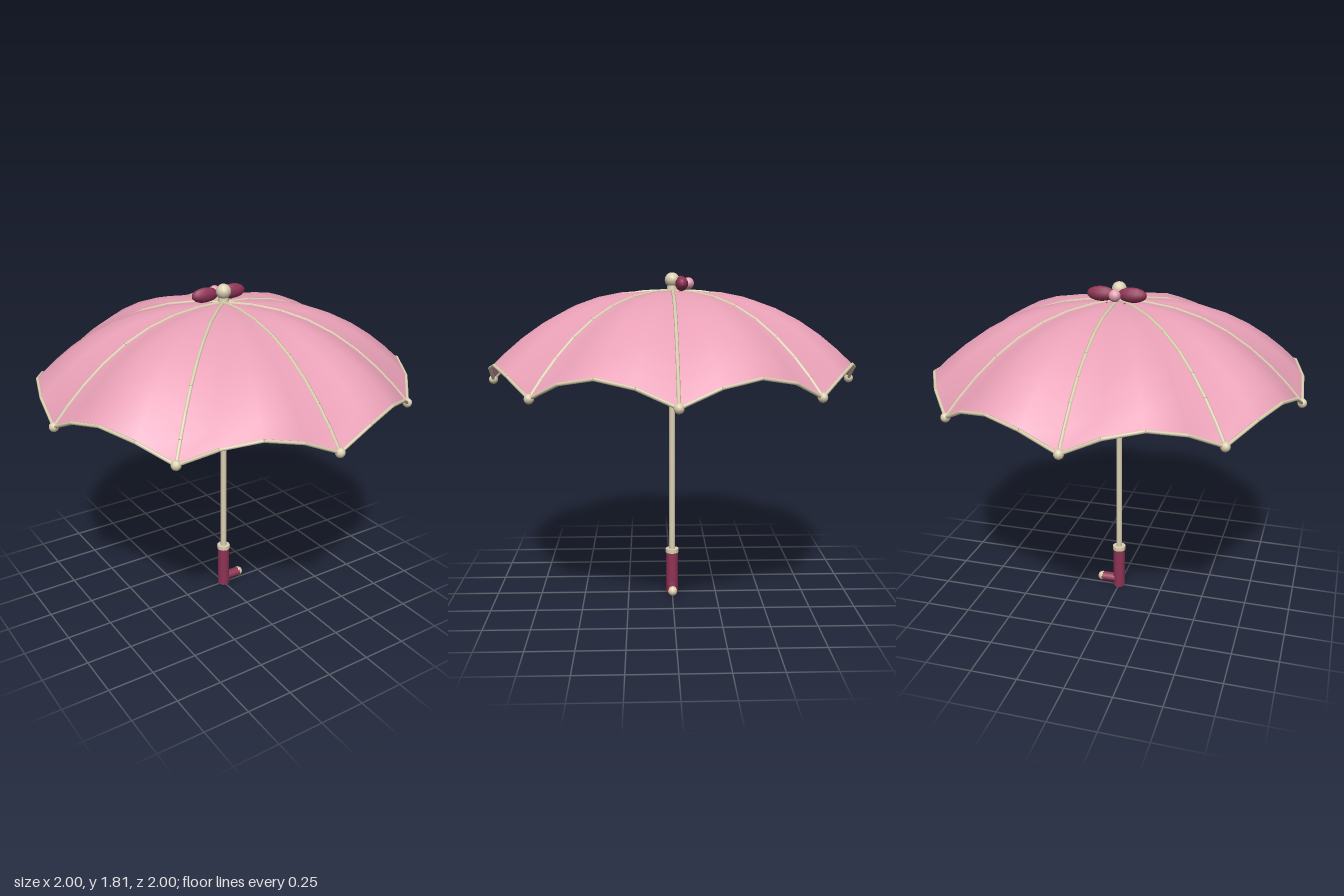
import * as THREE from 'three';
import { mergeGeometries } from 'three/addons/utils/BufferGeometryUtils.js';

const PANELS = 8, STEPS = 4, RADIUS = 0.975;
const mat = (color, side = THREE.FrontSide) => new THREE.MeshStandardMaterial({ color, side });

// Point on the canopy: t runs from centre (0) to rim (1); fabric rises between ribs.
function canopyPoint(t, angle) {
  const scallop = Math.abs(Math.sin(angle * PANELS / 2));
  const y = 1.715 - 0.475 * Math.pow(t, 2.42) + 0.12 * Math.pow(t, 1.7) * scallop;
  return new THREE.Vector3(RADIUS * t * Math.cos(angle), y, RADIUS * t * Math.sin(angle));
}

// Thin round rod between two points.
function rod(a, b, r, sides = 6) {
  const dir = b.clone().sub(a);
  const g = new THREE.CylinderGeometry(r, r, dir.length(), sides);
  const q = new THREE.Quaternion().setFromUnitVectors(new THREE.Vector3(0, 1, 0), dir.normalize());
  return g.applyQuaternion(q).translate((a.x + b.x) / 2, (a.y + b.y) / 2, (a.z + b.z) / 2);
}

export function createModel() {
  const group = new THREE.Group();
  const pink = mat(0xe8a0b6), cream = mat(0xddd0b2), crimson = mat(0x8f3355);
  const add = (name, geometry, material, x = 0, y = 0, z = 0) => {
    const m = new THREE.Mesh(geometry, material);
    m.name = name;
    m.position.set(x, y, z);
    group.add(m);
    return m;
  };

  // Canopy: a grid wrapped round the axis
  const cloth = new THREE.PlaneGeometry(1, 1, PANELS * STEPS, 8);
  const pos = cloth.attributes.position;
  for (let i = 0; i < pos.count; i++) {
    const t = Math.sin((0.5 - pos.getY(i)) * 1.1) / Math.sin(1.1);
    const p = canopyPoint(t, -(pos.getX(i) + 0.5) * Math.PI * 2);
    pos.setXYZ(i, p.x, p.y, p.z);
  }
  cloth.computeVertexNormals();
  add('canopy', cloth, mat(0xe8a0b6, THREE.DoubleSide));

  // Ribs, rib tips and stretchers
  const ribs = [], stretchers = [], trim = [];
  for (let i = 0; i < PANELS; i++) {
    const a = i / PANELS * Math.PI * 2;
    for (let k = 0; k < 8; k++) {
      const t0 = Math.sin(k / 8 * 1.1) / Math.sin(1.1);
      const t1 = Math.sin((k + 1) / 8 * 1.1) / Math.sin(1.1);
      ribs.push(rod(canopyPoint(t0, a), canopyPoint(t1, a), 0.01));
    }
    const tip = canopyPoint(1, a);
    add('ribTip', new THREE.SphereGeometry(0.025, 10, 8), cream, tip.x, tip.y, tip.z);
    stretchers.push(rod(new THREE.Vector3(0, 1.42, 0), canopyPoint(0.607, a), 0.005));
  }
  add('ribs', mergeGeometries(ribs), cream);
  add('stretchers', mergeGeometries(stretchers), cream);

  // Trim along the scalloped rim
  const n = PANELS * STEPS;
  for (let i = 0; i < n; i++) {
    trim.push(rod(canopyPoint(1, i / n * Math.PI * 2), canopyPoint(1, (i + 1) / n * Math.PI * 2), 0.009));
  }
  add('rimTrim', mergeGeometries(trim), cream);

  // Shaft, runner and finial
  add('shaft', new THREE.CylinderGeometry(0.017, 0.017, 1.5, 12), cream, 0, 0.99, 0);
  add('runner', new THREE.CylinderGeometry(0.03, 0.03, 0.045, 12), cream, 0, 1.42, 0);
  add('finialCollar', new THREE.CylinderGeometry(0.025, 0.03, 0.04, 12), cream, 0, 1.73, 0);
  add('finial', new THREE.SphereGeometry(0.04, 12, 8), cream, 0, 1.773, 0);

  // Handle with side hook
  add('handle', new THREE.CylinderGeometry(0.034, 0.034, 0.25, 12), crimson, 0, 0.125, 0);
  add('handleCollar', new THREE.CylinderGeometry(0.037, 0.037, 0.022, 12), cream, 0, 0.251, 0);
  add('hook', new THREE.CylinderGeometry(0.027, 0.027, 0.1, 10).rotateZ(Math.PI / 2), crimson, 0.052, 0.043, 0);
  add('hookCap', new THREE.SphereGeometry(0.027, 10, 8), cream, 0.102, 0.043, 0);

  // Bow: two loops, two ribbon tails under the canopy, and a knot
  for (const s of [-1, 1]) {
    const loop = add('bowLoop', new THREE.SphereGeometry(1, 10, 8).rotateZ(Math.PI / 2), crimson, s * 0.083, 1.755, -0.048);
    loop.scale.set(0.077, 0.04, 0.034);
    const tail = add('bowTail', new THREE.BoxGeometry(0.14, 0.012, 0.05), crimson, s * 0.1, 1.67, -0.06);
    tail.rotation.z = -s * 0.65;
  }
  add('bowKnot', new THREE.SphereGeometry(0.032, 10, 8), pink, 0, 1.755, -0.087);

  return group;
}
